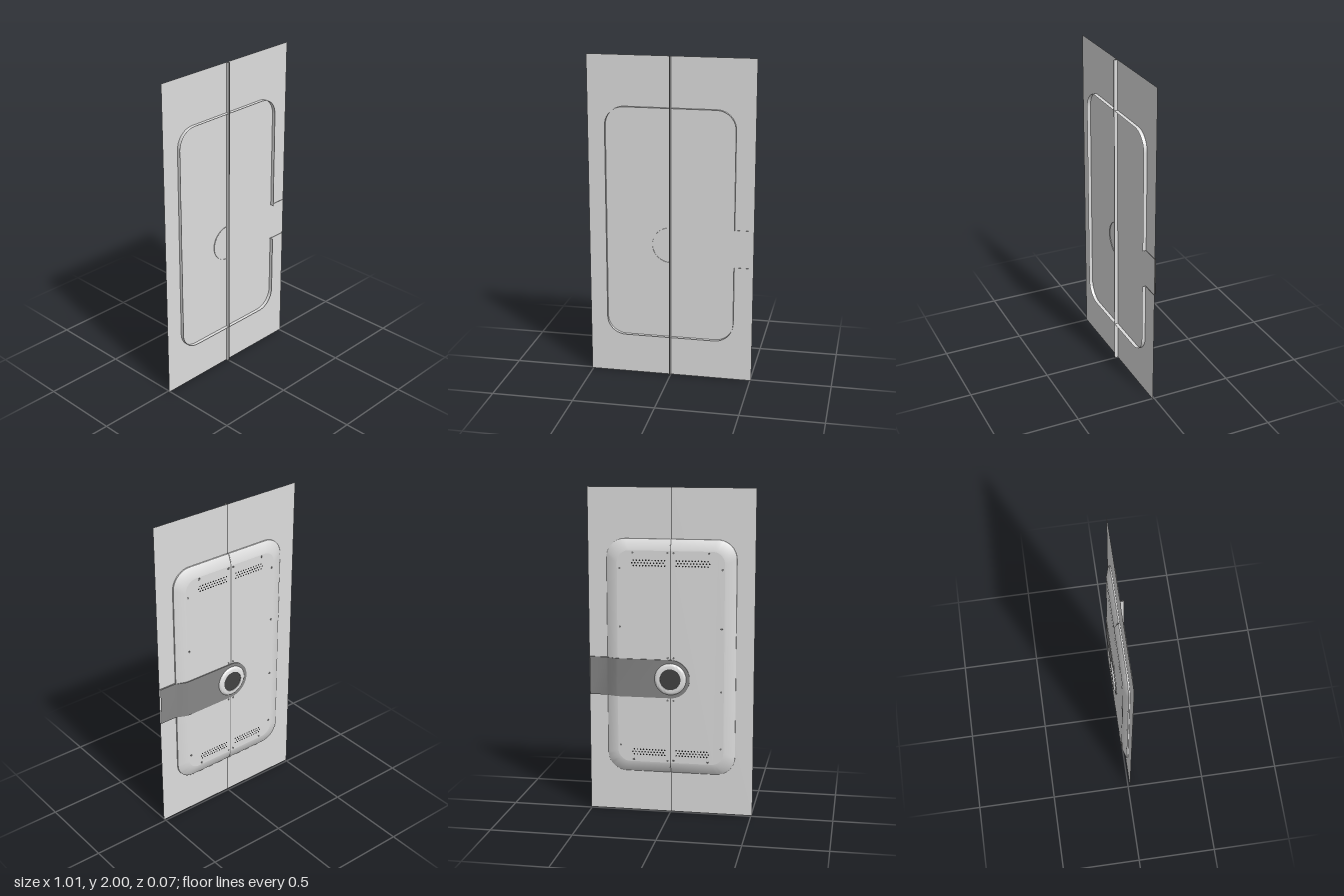
import * as THREE from 'three';
import { mergeGeometries, toCreasedNormals } from 'three/addons/utils/BufferGeometryUtils.js';

const CX = -0.003;            // seam line
const GAP = 0.003;            // half width of the seam
const SHEET_Z = 0.012, FRONT_Z = 0.034, BACK_Z = -0.021;
const CASE_Y = 0.975, HALF_W = 0.394, HALF_H = 0.72, RADIUS = 0.115;
const STRAP_Y = 0.85, STRAP_H = 0.118;

const mat = (name, color) => {
  const m = new THREE.MeshStandardMaterial({ color, side: THREE.DoubleSide });
  m.name = name;
  return m;
};

// Joins rows of points into a surface; keep(row, column) can leave quads out
function loft(rows, keep = () => true) {
  const pos = [];
  for (let i = 0; i < rows.length - 1; i++) {
    for (let j = 0; j < rows[i].length - 1; j++) {
      if (!keep(i, j)) continue;
      const a = rows[i][j], b = rows[i][j + 1], c = rows[i + 1][j + 1], d = rows[i + 1][j];
      pos.push(...a, ...b, ...c, ...a, ...c, ...d);
    }
  }
  const g = new THREE.BufferGeometry();
  g.setAttribute('position', new THREE.Float32BufferAttribute(pos, 3));
  return toCreasedNormals(g, 0.5);
}

// Half of a rounded rectangle, from the top of the seam round to its bottom
function halfOutline(side, inset) {
  const w = HALF_W - inset, h = HALF_H - inset, r = RADIUS - inset * 0.6;
  const pts = [[GAP, h]];
  const corner = (cy, from) => {
    for (let i = 0; i <= 10; i++) {
      const a = from - (i / 10) * Math.PI / 2;
      pts.push([w - r + r * Math.cos(a), cy + r * Math.sin(a)]);
    }
  };
  corner(h - r, Math.PI / 2);
  pts.push([w, STRAP_Y + STRAP_H - CASE_Y], [w, STRAP_Y - STRAP_H - CASE_Y]);
  corner(r - h, 0);
  pts.push([GAP, -h]);
  return pts.map(([x, y]) => [CX + side * x, CASE_Y + y]);
}

export function createModel() {
  const grey = mat('panel light grey', 0xdddddd);
  const strapGrey = mat('strap grey', 0x868686);
  const ringGrey = mat('ring pale grey', 0xe6e6e6);
  const discGrey = mat('disc dark grey', 0x424242);
  const seamGrey = mat('seam grey', 0x787878);
  const black = mat('vent black', 0x1c1c1c);

  const model = new THREE.Group();
  const add = (name, geometry, material, parent = model) => {
    const m = new THREE.Mesh(geometry, material);
    m.name = name;
    parent.add(m);
    return m;
  };

  // Two door leaves, each with a sheet and half of the case
  const levels = [[0, FRONT_Z], [0, SHEET_Z], [0, 0.004], [0.006, -0.001],
    [0.056, -0.019], [0.068, BACK_Z]];
  for (const side of [-1, 1]) {
    const leaf = new THREE.Group();
    leaf.name = side > 0 ? 'leftLeaf' : 'rightLeaf';
    model.add(leaf);

    const width = 0.507 - GAP - side * CX;
    add('sheet', new THREE.PlaneGeometry(width, 2)
      .translate(CX + side * (GAP + width / 2), 1, SHEET_Z), grey, leaf);

    // The rim in front of the sheet is open where the strap passes
    const rows = levels.map(([inset, z]) => halfOutline(side, inset).map(([x, y]) => [x, y, z]));
    add('caseWall', loft(rows, (i, j) => !(side > 0 && i === 0 && j === 12)), grey, leaf);

    const back = new THREE.Shape(halfOutline(side, 0.068).map(([x, y]) => new THREE.Vector2(x, y)));
    add('caseBack', new THREE.ShapeGeometry(back).rotateY(Math.PI)
      .scale(-1, 1, 1).translate(0, 0, BACK_Z), grey, leaf);
  }

  // Seam strip between the leaves, with light flanks and a darker edge
  const top = CASE_Y + HALF_H, low = CASE_Y - HALF_H;
  const profile = [[FRONT_Z, 0], [FRONT_Z, 2], [SHEET_Z, 2], [SHEET_Z, top], [0.004, top],
    [-0.019, top - 0.056], [BACK_Z, top - 0.068], [BACK_Z, low + 0.068],
    [-0.019, low + 0.056], [0.004, low], [SHEET_Z, low], [SHEET_Z, 0]];
  add('seamStrip', new THREE.ExtrudeGeometry(
    new THREE.Shape(profile.map(([z, y]) => new THREE.Vector2(z, y))),
    { depth: 2 * GAP, bevelEnabled: false })
    .rotateY(-Math.PI / 2).translate(CX + GAP, 0, 0), [grey, seamGrey]);

  // Strap that bends over the case edge and ends in a half circle
  const stations = [[0.503, STRAP_H, 0.003, 0.015], [0.4, STRAP_H, 0.003, 0.015],
    [0.386, STRAP_H, -0.003, 0.012], [0.335, STRAP_H, -0.025, -0.017],
    [0.322, STRAP_H, -0.027, -0.02]];
  for (let i = 0; i <= 20; i++) {
    const a = (i / 20) * Math.PI / 2;
    stations.push([CX - STRAP_H * Math.sin(a), STRAP_H * Math.cos(a), -0.027, -0.02]);
  }
  add('strap', loft(stations.map(([x, h, zOut, zIn]) => [
    [x, STRAP_Y - h, zIn], [x, STRAP_Y - h, zOut],
    [x, STRAP_Y + h, zOut], [x, STRAP_Y + h, zIn]])), strapGrey);

  // Low half-round rim on the front, behind the strap end
  const arc = [SHEET_Z, SHEET_Z + 0.004].map(z => Array.from({ length: 25 }, (_, i) => {
    const a = Math.PI / 2 + (i / 24) * Math.PI;
    return [CX + 0.11 * Math.cos(a), STRAP_Y + 0.11 * Math.sin(a), z];
  }));
  add('frontArcRim', loft(arc), grey);

  // Round fitting on the strap end
  const ring = [[0.097, 0.027], [0.094, 0.032], [0.088, 0.036], [0.079, 0.038],
    [0.064, 0.038], [0.064, 0.032]].map(([r, y]) => new THREE.Vector2(r, y));
  add('ring', toCreasedNormals(new THREE.LatheGeometry(ring, 40), 0.7)
    .rotateX(-Math.PI / 2).translate(CX, STRAP_Y, 0), ringGrey);
  add('ringCentre', new THREE.CircleGeometry(0.065, 40).rotateY(Math.PI)
    .translate(CX, STRAP_Y, -0.034), discGrey);

  // Screws and vent holes, mirrored across the seam
  const screwSpots = [[0.31, 1.52], [0.31, 1.165], [0.31, 0.78], [0.31, 0.425],
    [0.23, 1.615], [0.23, 0.335], [0.018, 1.615], [0.018, 0.335], [0.018, 0.978], [0.018, 0.716]];
  const screws = [], holes = [];
  for (const side of [-1, 1]) {
    for (const [x, y] of screwSpots) {
      screws.push(new THREE.CylinderGeometry(0.0065, 0.0065, 0.003, 10)
        .rotateX(Math.PI / 2).translate(CX + side * x, y, BACK_Z - 0.0005));
    }
    for (const cy of [1.553, 0.385]) {
      for (let row = -1; row <= 1; row++) {
        for (let col = 0; col < 11; col++) {
          const x = 0.035 + col * 0.019 + (row ? 0 : 0.0095);
          holes.push(new THREE.CircleGeometry(0.005, 8).rotateY(Math.PI)
            .translate(CX + side * x, cy + row * 0.016, BACK_Z - 0.001));
        }
      }
    }
  }
  add('screws', mergeGeometries(screws), seamGrey);
  add('ventHoles', mergeGeometries(holes), black);

  return model;
}
